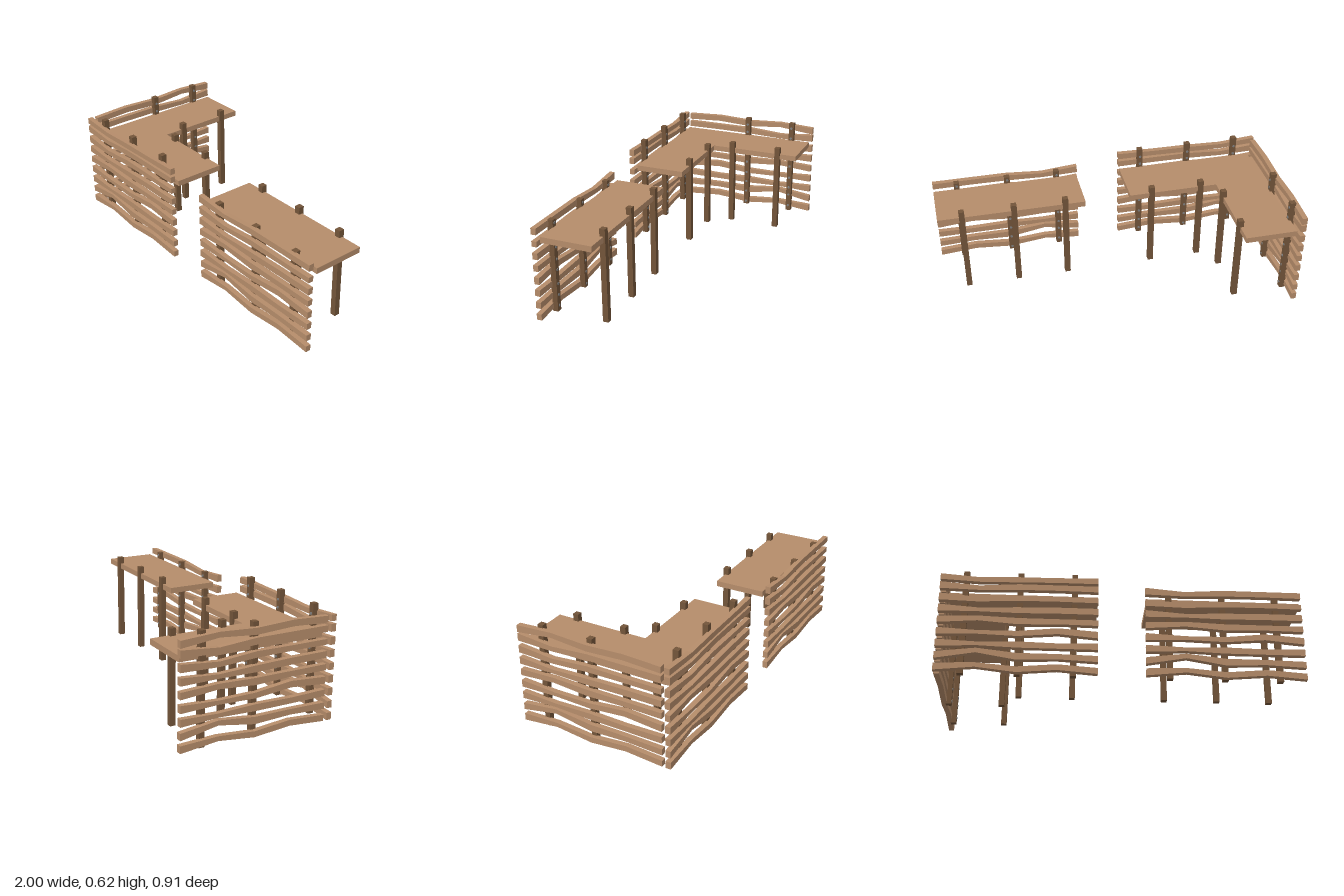
import * as THREE from 'three';

const plankMat = new THREE.MeshStandardMaterial({ color: 0xb58c6a });
const postMat = new THREE.MeshStandardMaterial({ color: 0x73553a });
const nailMat = new THREE.MeshStandardMaterial({ color: 0x808080 });

// Plank rows from the ground up: [top, bottom] at five even stations
const ROWS = [
  [[.046, .005], [.054, .028], [.036, .003], [.055, .022], [.04, .005]],
  [[.112, .073], [.139, .112], [.115, .075], [.115, .084], [.11, .074]],
  [[.185, .144], [.176, .154], [.183, .146], [.178, .146], [.183, .146]],
  [[.256, .215], [.244, .222], [.246, .215], [.269, .234], [.254, .215]],
  [[.324, .286], [.332, .303], [.324, .286], [.324, .293], [.324, .29]],
  [[.397, .356], [.381, .358], [.39, .354], [.395, .358], [.395, .358]],
  [[.466, .424], [.446, .418], [.464, .43], [.461, .432], [.461, .43]],
  [[.537, .495], [.518, .49], [.534, .498], [.534, .5], [.534, .498]],
];
const TOP_SIDE = [[.585, .545], [.597, .568], [.585, .549], [.595, .56], [.585, .549]];
const TOP_FRONT = [[.587, .552], [.57, .541], [.578, .545], [.58, .55], [.587, .55]];

const POST = 0.032;
const TABLE_Y = 0.461, TABLE_H = 0.033;

function add(parent, name, geo, mat, x = 0, y = 0, z = 0) {
  const mesh = new THREE.Mesh(geo, mat);
  mesh.name = name;
  mesh.position.set(x, y, z);
  parent.add(mesh);
  return mesh;
}

function post(parent, name, x, z, h) {
  add(parent, name, new THREE.BoxGeometry(POST, h, POST), postMat, x, h / 2, z);
}

// Extruded wavy board following the row's stations along x
function plankGeometry(row, length) {
  const n = row.length - 1;
  const upper = row.map((p, i) => new THREE.Vector2(i / n * length, p[0]));
  const lower = row.map((p, i) => new THREE.Vector2(i / n * length, p[1])).reverse();
  const shape = new THREE.Shape([...lower.reverse(), ...upper.reverse()]);
  return new THREE.ExtrudeGeometry(shape, { depth: 0.03, bevelEnabled: false });
}

// Height of the middle of a row at distance x
function rowMiddle(row, x, length) {
  const t = x / length * (row.length - 1);
  const i = Math.min(Math.floor(t), row.length - 2);
  const mid = (p) => (p[0] + p[1]) / 2;
  return THREE.MathUtils.lerp(mid(row[i]), mid(row[i + 1]), t - i);
}

// Fence panel running along local x, its outside facing local +z
function fence(name, rows, length, postXs, postHeight) {
  const g = new THREE.Group();
  g.name = name;
  rows.forEach((row) => add(g, 'plank', plankGeometry(row, length), plankMat));
  const nailGeo = new THREE.CylinderGeometry(0.008, 0.008, 0.006, 8).rotateX(Math.PI / 2);
  for (const x of postXs) {
    post(g, 'fencePost', x, -0.01, postHeight);
    rows.forEach((row) => add(g, 'nail', nailGeo, nailMat, x, rowMiddle(row, x, length), -0.026));
  }
  return g;
}

// Table top from an outline of [x, z] corners
function tableTop(parent, name, corners) {
  const shape = new THREE.Shape(corners.map(([x, z]) => new THREE.Vector2(x, -z)));
  const geo = new THREE.ExtrudeGeometry(shape, { depth: TABLE_H, bevelEnabled: false });
  geo.rotateX(-Math.PI / 2);
  add(parent, name, geo, plankMat, 0, TABLE_Y, 0);
}

export function createModel() {
  const model = new THREE.Group();
  model.name = 'marketCounters';

  // L-shaped counter
  const corner = new THREE.Group();
  corner.name = 'cornerCounter';
  model.add(corner);
  const front = fence('frontFence', [...ROWS, TOP_FRONT], 0.87, [0.14, 0.44, 0.74], 0.617);
  front.position.set(-1, 0, 0.425);
  const side = fence('sideFence', [...ROWS, TOP_SIDE], 0.86, [0.135, 0.435], 0.61);
  side.rotation.y = -Math.PI / 2;
  side.position.set(-0.97, 0, -0.455);
  corner.add(front, side);
  tableTop(corner, 'cornerTableTop', [
    [-0.955, 0.402], [-0.13, 0.402], [-0.13, 0.107],
    [-0.657, 0.107], [-0.657, -0.44], [-0.955, -0.44],
  ]);
  for (const x of [-0.56, -0.26]) post(corner, 'backPost', x, 0.113, 0.535);
  for (const z of [-0.02, -0.32]) post(corner, 'innerPost', -0.66, z, 0.535);

  // Straight counter
  const straight = new THREE.Group();
  straight.name = 'straightCounter';
  model.add(straight);
  const panel = fence('frontFence', ROWS, 0.87, [0.13, 0.43, 0.73], 0.535);
  panel.position.set(0.13, 0, 0.425);
  straight.add(panel);
  tableTop(straight, 'straightTableTop', [
    [0.14, 0.402], [1, 0.402], [1, 0.107], [0.14, 0.107],
  ]);
  for (const x of [0.26, 0.56, 0.86]) post(straight, 'backPost', x, 0.113, 0.535);

  return model;
}
